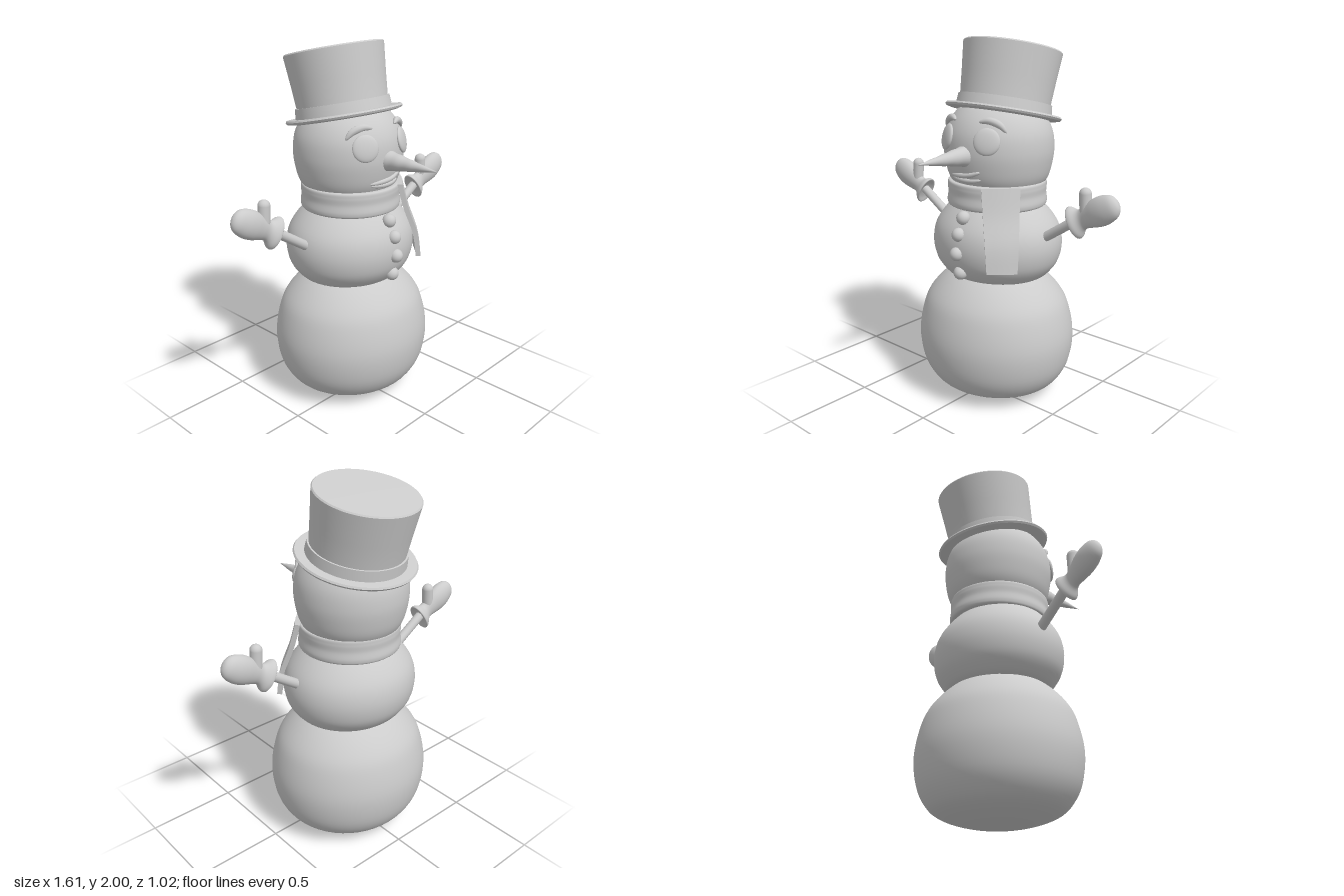
import * as THREE from 'three';
import { toCreasedNormals } from 'three/addons/utils/BufferGeometryUtils.js';

const CX = 0.015; // body axis
const material = new THREE.MeshStandardMaterial({ color: 0xcccccc });
const v2 = (pts) => pts.map(([x, y]) => new THREE.Vector2(x, y));
const v3 = (x, y, z) => new THREE.Vector3(x, y, z);

function add(parent, name, geometry, x = 0, y = 0, z = 0) {
  const mesh = new THREE.Mesh(geometry, material);
  mesh.name = name;
  mesh.position.set(x, y, z);
  parent.add(mesh);
  return mesh;
}

// Smooth lathe through [radius, height] points
function smoothLathe(points, segments = 48, divisions = 48) {
  const pts = new THREE.SplineCurve(v2(points)).getPoints(divisions);
  pts.forEach((p) => { p.x = Math.max(0, p.x); });
  return new THREE.LatheGeometry(pts, segments);
}

// Lathe that keeps its corners sharp
const sharpLathe = (points, segments = 64) =>
  toCreasedNormals(new THREE.LatheGeometry(v2(points), segments), 0.6);

// Tube whose radius follows a rule along its length
function taperedTube(points, radiusAt) {
  const curve = new THREE.CatmullRomCurve3(points);
  const n = 24, sides = 10;
  const g = new THREE.TubeGeometry(curve, n, 1, sides);
  const pos = g.attributes.position, p = v3(0, 0, 0);
  for (let i = 0; i < pos.count; i++) {
    const t = Math.floor(i / (sides + 1)) / n;
    const c = curve.getPointAt(t);
    p.fromBufferAttribute(pos, i).sub(c).multiplyScalar(radiusAt(t)).add(c);
    pos.setXYZ(i, p.x, p.y, p.z);
  }
  g.computeVertexNormals();
  return g;
}

// Point on the front of the head
const HEAD = v3(CX, 1.41, -0.1);
function onHead(x, y, lift = 0) {
  const dx = x - HEAD.x, dy = y - HEAD.y;
  const z = Math.sqrt(0.09 * (1 - (dy / 0.34) ** 2) - dx * dx);
  return v3(x, y, HEAD.z + z + lift);
}

function buildBody(g) {
  const balls = [
    ['baseSnowball', -0.082, 0.935, [[0, 0], [0.1, 0.003], [0.2, 0.016], [0.31, 0.05], [0.38, 0.1], [0.435, 0.2],
      [0.455, 0.35], [0.428, 0.5], [0.38, 0.6], [0.28, 0.7], [0.16, 0.76], [0, 0.78]]],
    ['middleSnowball', -0.09, 0.91, [[0, 0.67], [0.2, 0.68], [0.265, 0.7], [0.31, 0.73], [0.358, 0.8],
      [0.375, 0.9], [0.35, 1], [0.27, 1.1], [0.18, 1.16], [0, 1.19]]],
    ['head', HEAD.z, 0.99, [[0, 1.12], [0.14, 1.14], [0.23, 1.2], [0.27, 1.25], [0.292, 1.32], [0.303, 1.41],
      [0.29, 1.51], [0.24, 1.6], [0.16, 1.66], [0, 1.69]]],
  ];
  for (const [name, z, depth, profile] of balls) {
    add(g, name, smoothLathe(profile), CX, 0, z).scale.z = depth;
  }
  // Buttons down the chest
  for (const [y, z] of [[1.065, 0.195], [0.98, 0.232], [0.877, 0.248], [0.765, 0.22]]) {
    add(g, 'button', new THREE.SphereGeometry(0.038, 20, 14), 0.022, y, z);
  }
}

function buildFace(g) {
  for (const s of [-1, 1]) {
    // Flattened eye lying on the head surface
    const p = onHead(CX + s * 0.14, 1.48);
    const eye = add(g, 'eye', new THREE.SphereGeometry(0.071, 32, 16), p.x, p.y, p.z);
    eye.scale.z = 0.28;
    eye.lookAt(p.clone().multiplyScalar(2).sub(HEAD));
    // Arched brow
    const brow = [[0.083, 1.575], [0.13, 1.582], [0.18, 1.562], [0.214, 1.525]]
      .map(([x, y]) => onHead(CX + s * x, y, 0.004));
    add(g, 'eyebrow', taperedTube(brow, (t) => 0.002 + 0.018 * Math.sin(Math.PI * t) ** 0.6));
  }
  // Carrot nose with faint ridges
  const nose = [];
  for (let i = 0; i <= 24; i++) {
    const t = i / 24;
    nose.push([0.057 * (1 - t) ** 0.95 * (1 + 0.03 * Math.sin(t * 28)), t * 0.34]);
  }
  add(g, 'nose', new THREE.LatheGeometry(v2(nose), 24), 0.022, 1.395, 0.17).rotation.x = Math.PI / 2;
  // Crooked mouth
  const lip = (pts) => taperedTube(pts.map(([x, y]) => onHead(x, y, 0.002)),
    (t) => 0.002 + 0.012 * Math.sin(Math.PI * t) ** 0.4);
  add(g, 'upperLip', lip([[-0.09, 1.282], [-0.02, 1.288], [0.05, 1.296], [0.12, 1.318]]));
  add(g, 'lowerLip', lip([[-0.08, 1.27], [-0.01, 1.265], [0.06, 1.265], [0.115, 1.275]]));
}

function buildScarf(g) {
  add(g, 'scarfBand', smoothLathe([[0.22, 1.105], [0.265, 1.102], [0.276, 1.125], [0.271, 1.17],
    [0.273, 1.21], [0.266, 1.238], [0.22, 1.236]]), CX, 0, -0.087);
  // Hanging end, draped outward over the chest
  const drape = new THREE.SplineCurve(v2([[0.272, 1.24], [0.308, 1.1], [0.362, 0.95], [0.382, 0.81]]));
  const tail = new THREE.BoxGeometry(1, 1, 0.028, 4, 14, 1);
  const pos = tail.attributes.position;
  for (let i = 0; i < pos.count; i++) {
    const t = 0.5 - pos.getY(i);
    const p = drape.getPoint(t);
    const x = pos.getX(i) * (0.205 - 0.045 * t);
    pos.setXYZ(i, x, p.y, p.x + pos.getZ(i) - 0.7 * x * x);
  }
  tail.computeVertexNormals();
  add(g, 'scarfTail', tail, CX, 0, -0.085).rotation.y = Math.PI / 4;
}

function buildHat(g) {
  const hat = new THREE.Group();
  hat.name = 'topHat';
  hat.position.set(0.017, 1.583, -0.13);
  hat.rotation.x = -0.222;
  g.add(hat);
  add(hat, 'hatBrim', sharpLathe([[0, 0], [0.29, 0], [0.313, 0.006], [0.319, 0.016], [0.313, 0.025],
    [0.29, 0.024], [0, 0.024]]));
  add(hat, 'hatBand', sharpLathe([[0.24, 0.02], [0.263, 0.02], [0.257, 0.08], [0.24, 0.08]]));
  add(hat, 'hatCrown', sharpLathe([[0.247, 0.02], [0.248, 0.08], [0.257, 0.2], [0.27, 0.345],
    [0.271, 0.358], [0.265, 0.365], [0, 0.369]]));
}

function buildArm(g, side) {
  const arm = new THREE.Group();
  arm.name = side > 0 ? 'leftArm' : 'rightArm';
  arm.position.z = -0.073;
  if (side < 0) arm.rotation.y = Math.PI;
  g.add(arm);
  const stick = add(arm, 'armStick', new THREE.CylinderGeometry(0.026, 0.026, 0.32, 16), 0.45, 1.025, 0);
  stick.rotation.z = -0.99;
  // Mitten with flared cuff, flattened front to back
  const mitten = add(arm, 'mitten', smoothLathe([[0, 0.015], [0.05, 0.01], [0.084, 0], [0.083, 0.018], [0.06, 0.045],
    [0.053, 0.07], [0.062, 0.11], [0.073, 0.16], [0.073, 0.21], [0.058, 0.26], [0.03, 0.285], [0, 0.291]],
  32, 44), 0.543, 1.08, 0);
  mitten.rotation.z = -1.06;
  mitten.scale.z = 0.66;
  const thumb = add(arm, 'thumb', new THREE.CapsuleGeometry(0.032, 0.085, 8, 16), 0.61, 1.2, 0);
  thumb.rotation.z = 0.06;
}

export function createModel() {
  const model = new THREE.Group();
  model.name = 'snowman';
  buildBody(model);
  buildFace(model);
  buildScarf(model);
  buildHat(model);
  for (const side of [1, -1]) buildArm(model, side);
  return model;
}
